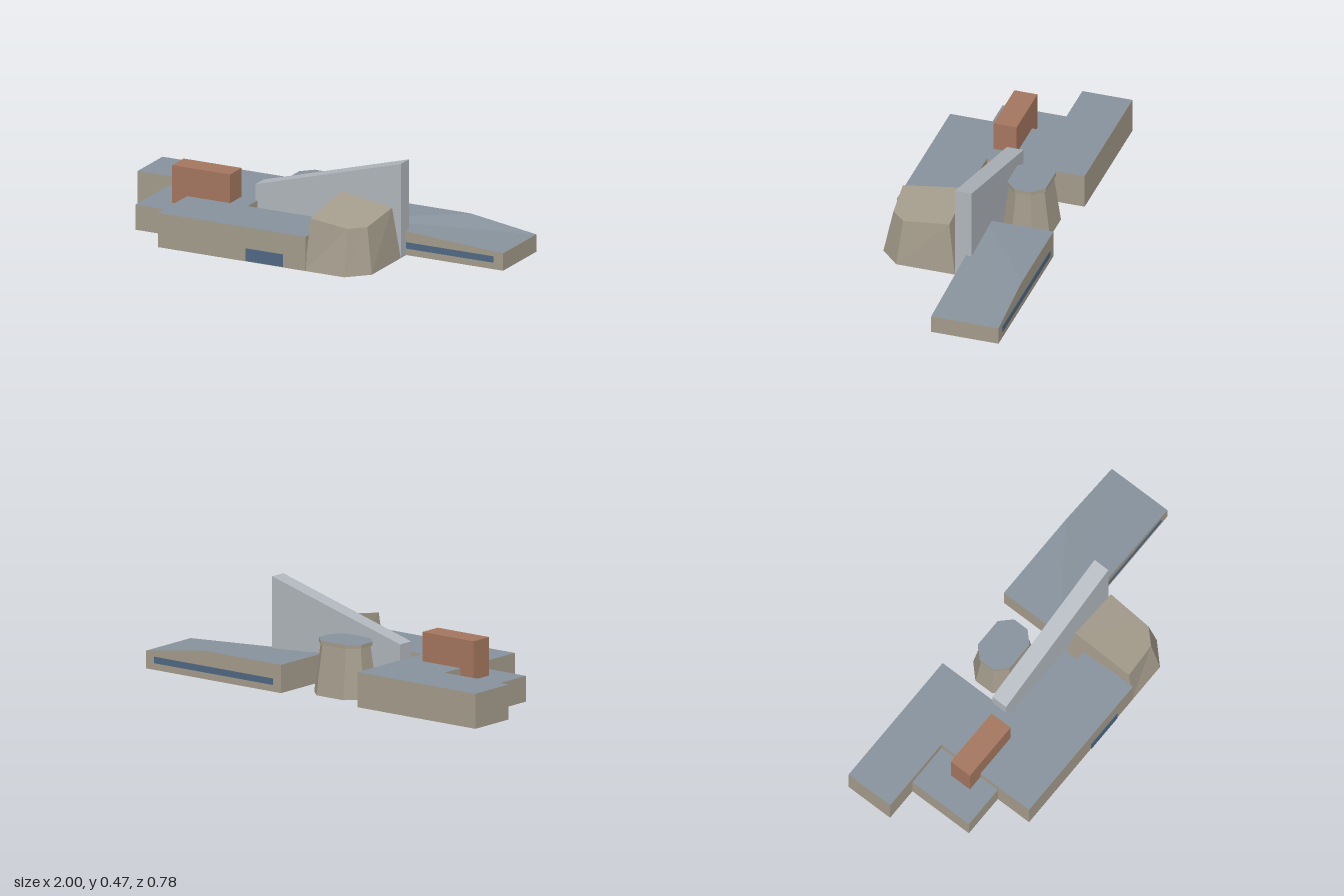
import * as THREE from 'three';

const mat = (name, color) => {
  const m = new THREE.MeshStandardMaterial({ color, side: THREE.DoubleSide });
  m.name = name;
  return m;
};

// Open-bottomed block: base is [x, z] corners on the ground, top is matching [x, y, z] corners.
function loft(name, base, top, wallMat, roofMat, { concave = false, y0 = 0 } = {}) {
  const pos = [];
  const n = base.length;
  for (let i = 0; i < n; i++) {
    const j = (i + 1) % n;
    const a = [base[i][0], y0, base[i][1]];
    const b = [base[j][0], y0, base[j][1]];
    pos.push(...a, ...b, ...top[j], ...a, ...top[j], ...top[i]);
  }
  const wallCount = pos.length / 3;

  // Roof: a fan from the first corner, or a triangulated outline when concave
  let faces = [];
  if (concave) {
    faces = THREE.ShapeUtils.triangulateShape(top.map((p) => new THREE.Vector2(p[0], p[2])), []);
  } else {
    for (let i = 1; i < n - 1; i++) faces.push([0, i, i + 1]);
  }
  for (const [i, j, k] of faces) {
    const [a, b, c] = [top[i], top[j], top[k]];
    const cross = (b[0] - a[0]) * (c[2] - a[2]) - (b[2] - a[2]) * (c[0] - a[0]);
    pos.push(...a, ...(cross < 0 ? b : c), ...(cross < 0 ? c : b));
  }

  const geo = new THREE.BufferGeometry();
  geo.setAttribute('position', new THREE.Float32BufferAttribute(pos, 3));
  geo.addGroup(0, wallCount, 0);
  geo.addGroup(wallCount, pos.length / 3 - wallCount, 1);
  geo.computeVertexNormals();
  const mesh = new THREE.Mesh(geo, [wallMat, roofMat]);
  mesh.name = name;
  return mesh;
}

// Upright block with a flat roof or a roof height that depends on x
function prism(name, base, height, wallMat, roofMat, opts) {
  const h = typeof height === 'function' ? height : () => height;
  return loft(name, base, base.map(([x, z]) => [x, h(x, z), z]), wallMat, roofMat, opts);
}

const rect = (x0, x1, z0, z1) => [[x0, z0], [x0, z1], [x1, z1], [x1, z0]];

// Rectangle with cut corners around (cx, cz)
function octagon(cx, cz, rx, rz, cut) {
  return [
    [-rx, -rz + cut], [-rx, rz - cut], [-rx + cut, rz], [rx - cut, rz],
    [rx, rz - cut], [rx, -rz + cut], [rx - cut, -rz], [-rx + cut, -rz],
  ].map(([x, z]) => [cx + x, cz + z]);
}

// Thin window band on a wall that faces along z
function band(name, x0, x1, y0, y1, z, material) {
  const mesh = new THREE.Mesh(new THREE.BoxGeometry(x1 - x0, y1 - y0, 0.006), material);
  mesh.position.set((x0 + x1) / 2, (y0 + y1) / 2, z);
  mesh.name = name;
  return mesh;
}

export function createModel() {
  const stone = mat('stone', 0xa39b8b);
  const roof = mat('slate roof', 0x87929c);
  const brick = mat('terracotta', 0xa4765f);
  const pale = mat('pale concrete', 0xb0b6bc);
  const glass = mat('blue glass', 0x506882);

  const model = new THREE.Group();
  model.name = 'buildingComplex';

  // Main stepped hall
  model.add(prism('mainHall', [
    [-1, -0.39], [-1, -0.14], [-0.61, -0.14], [-0.61, 0.388],
    [0.18, 0.388], [0.18, 0.097], [-0.285, 0.097], [-0.285, -0.39],
  ], 0.17, stone, roof, { concave: true }));
  model.add(band('hallWindow', -0.14, 0.06, 0.003, 0.065, 0.388, glass));

  // Lower side annex and the low strip beside the fin wall
  model.add(prism('sideAnnex', rect(-0.83, -0.61, -0.14, 0.2), 0.125, stone, roof));
  model.add(prism('lowStrip', rect(-0.29, 0.15, 0, 0.097), 0.075, stone, roof));

  // Terracotta block rising through the hall
  model.add(prism('terracottaBlock', rect(-0.69, -0.38, -0.02, 0.095), 0.312, brick, brick));

  // Tall fin wall with a sloping top
  model.add(prism('finWall', rect(-0.295, 0.482, -0.083, 0),
    (x) => 0.25 + (x + 0.295) * 0.279, pale, pale));

  // Wing with a folded roof
  model.add(loft('wing',
    [[0.18, -0.055], [1, -0.055], [1, -0.39], [0.65, -0.39], [0.18, -0.39]],
    [[0.18, 0.137, -0.055], [1, 0.086, -0.055], [1, 0.086, -0.39], [0.65, 0.137, -0.39], [0.18, 0.137, -0.39]],
    stone, roof));
  for (const [side, z] of [['front', -0.055], ['back', -0.39]]) {
    model.add(band(side + 'WingWindow', 0.23, 0.95, 0.033, 0.064, z, glass));
  }

  // Tapered front tower with a tilted roof
  model.add(loft('frontTower',
    [[0.15, 0], [0.175, 0.388], [0.385, 0.388], [0.482, 0.292], [0.482, 0]],
    [[0.185, 0.3, 0.037], [0.19, 0.254, 0.356], [0.378, 0.225, 0.34], [0.447, 0.225, 0.27], [0.455, 0.256, 0.037]],
    stone, stone));

  // Eight-sided rear tower and its cap
  const lift = (pts, y) => pts.map(([x, z]) => [x, y, z]);
  const neck = octagon(-0.06, -0.201, 0.121, 0.087, 0.05);
  const lip = octagon(-0.06, -0.201, 0.13, 0.096, 0.055);
  model.add(loft('rearTower', octagon(-0.06, -0.201, 0.15, 0.119, 0.068), lift(neck, 0.243), stone, stone));
  model.add(loft('rearTowerCap', lip, lift(lip, 0.262), stone, roof, { y0: 0.243 }));
  model.add(loft('rearTowerCapUnderside', neck, lift(lip, 0.2435), stone, stone, { y0: 0.243 }));

  return model;
}
